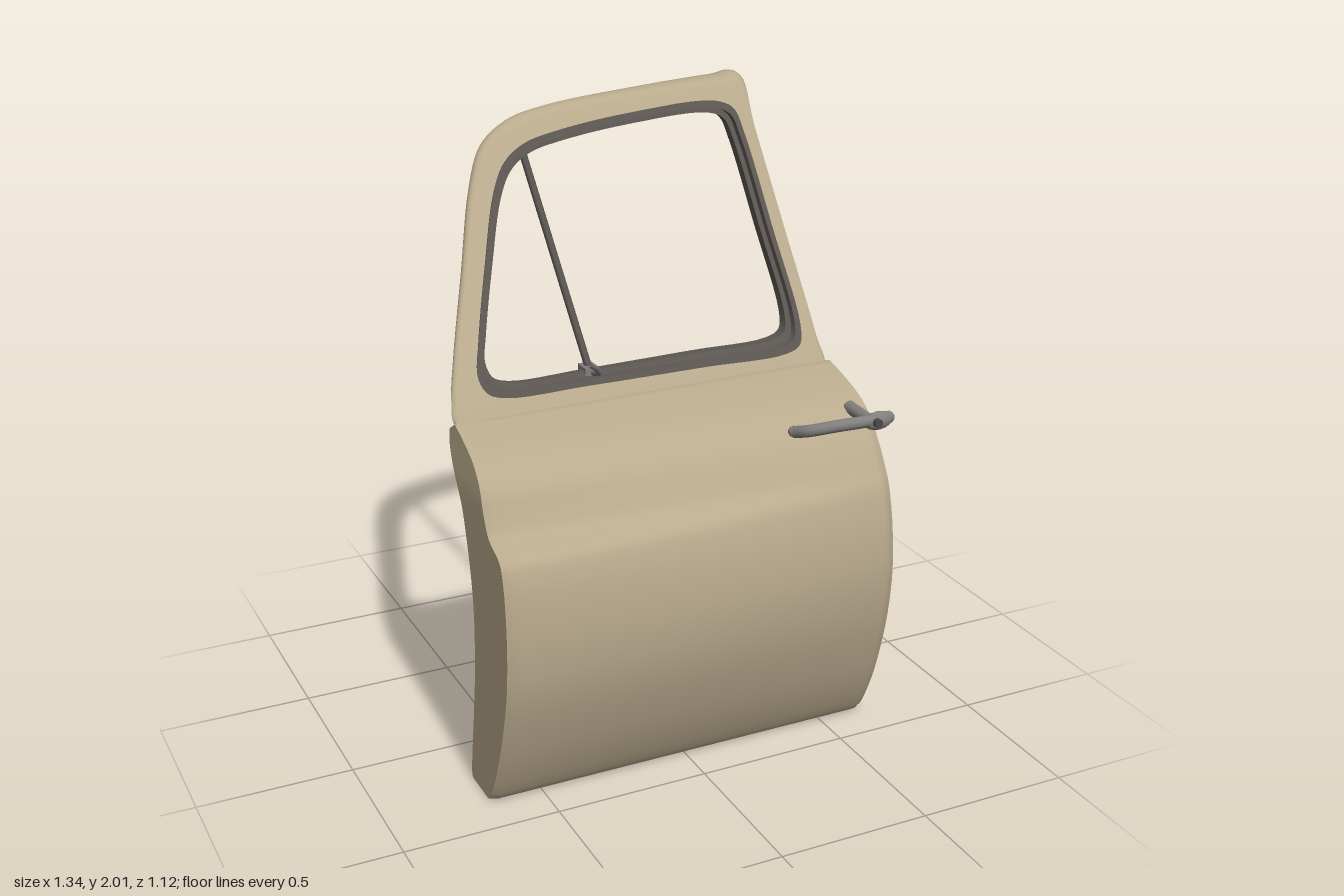
import * as THREE from 'three';
import { toCreasedNormals } from 'three/addons/utils/BufferGeometryUtils.js';

const V2 = (x, y) => new THREE.Vector2(x, y);
const V3 = (x, y, z) => new THREE.Vector3(x, y, z);
const lerp = THREE.MathUtils.lerp;
const smooth = THREE.MathUtils.smoothstep;

const mat = (name, color) => {
  const m = new THREE.MeshStandardMaterial({ color });
  m.name = name;
  return m;
};

function mesh(name, geometry, material, parent, x = 0, y = 0, z = 0) {
  const m = new THREE.Mesh(geometry, material);
  m.name = name;
  m.position.set(x, y, z);
  parent.add(m);
  return m;
}

// Skin over rows of closed sections; either joined end to end or capped.
function loft(rows, ring, crease) {
  const n = rows[0].length, pos = [], idx = [];
  rows.forEach(r => r.forEach(p => pos.push(p.x, p.y, p.z)));
  const quad = (a, b, c, d) => idx.push(a, b, c, a, c, d);
  const count = ring ? rows.length : rows.length - 1;
  for (let i = 0; i < count; i++) {
    const i2 = (i + 1) % rows.length;
    for (let j = 0; j < n; j++) {
      const k = (j + 1) % n;
      quad(i * n + j, i2 * n + j, i2 * n + k, i * n + k);
    }
  }
  if (!ring) {
    const e = (rows.length - 1) * n;
    for (let k = 0; k < n / 2 - 1; k++) {
      const a = k, b = n - 1 - k;
      quad(e + a, e + b, e + b - 1, e + a + 1);
      quad(b, a, a + 1, b - 1);
    }
  }
  const g = new THREE.BufferGeometry();
  g.setAttribute('position', new THREE.Float32BufferAttribute(pos, 3));
  g.setIndex(idx);
  return toCreasedNormals(g, crease);
}

// Side profiles as [z, y]: outer skin at both ends, and the inner panel.
const spline = pts => new THREE.SplineCurve(pts.map(p => V2(p[0], p[1])));
const skinFront = spline([[.34, 0], [.375, .02], [.44, .15], [.495, .3], [.535, .45], [.55, .6], [.545, .74], [.53, .83],
  [.505, .88], [.43, .915], [.395, .97], [.36, 1.04], [.285, 1.1], [.19, 1.14], [.12, 1.165]]);
const skinRear = spline([[.34, 0], [.375, .02], [.44, .15], [.49, .3], [.525, .45], [.54, .6], [.53, .74], [.512, .83],
  [.497, .88], [.477, .92], [.445, .975], [.395, 1.04], [.31, 1.1], [.2, 1.14], [.105, 1.165]]);
const panel = spline([[.075, 0], [.07, .03], [.085, .13], [.11, .27], [.127, .39], [.136, .5], [.138, .6], [.13, .69],
  [.115, .77], [.09, .865], [.06, .965], [.032, 1.03], [.012, 1.08], [.005, 1.11], [.008, 1.14]]);

const leftEdge = y => -.67 + .015 * smooth(y, .98, 1.18);
const rightEdge = y => .665 - .018 * y;

function bodySection(u, inset) {
  const N = 48, outer = [], inner = [];
  for (let k = 0; k <= N; k++) {
    const a = skinFront.getPoint(k / N), b = skinRear.getPoint(k / N), c = panel.getPoint(k / N);
    const yo = Math.max(0, lerp(a.y, b.y, u)), yi = Math.max(0, c.y);
    let zo = lerp(a.x, b.x, u) + .02 * (1 - (2 * u - 1) ** 2) * Math.sin(Math.PI * Math.min(yo / 1.15, 1));
    const fade = 1 - smooth(yo, 1, 1.15);
    zo -= fade * (.02 * smooth(u, .975, 1) + .012 * (1 - smooth(u, 0, .02)));
    // The inner panel is bevelled towards the hinge edge
    const zi = c.x + .04 * (1 - u) + (1 - smooth(u, 0, .13)) * lerp(.09, .03, smooth(yi, .9, 1.14))
      + .012 * smooth(u, .98, 1);
    const mid = (zo + zi) / 2;
    outer.push(V3(lerp(leftEdge(yo), rightEdge(yo), u) - inset, yo, lerp(zo, mid, inset * 5)));
    inner.push(V3(lerp(leftEdge(yi), rightEdge(yi), u) - inset, yi, lerp(zi, mid, inset * 2)));
  }
  return outer.concat(inner.reverse());
}

function panelZ(x, y) {
  let t = 0;
  while (t < 1 && panel.getPoint(t).y < y) t += .005;
  return panel.getPoint(t).x + .04 * (1 - (x + .67) / 1.33);
}

// Leaning window frame: outer face, and thickness growing to the rear
const frameZ = (x, y) => .895 - .667 * y - .025 * (x + .6) / 1.2;
const frameT = x => .065 + .055 * x;

const closed = pts => new THREE.CatmullRomCurve3(pts.map(p => V3(p[0], p[1], 0)), true, 'centripetal');
const rim = closed([[-.645, 1.22], [-.652, 1.16], [-.6, 1.14], [-.2, 1.14], [.2, 1.14], [.5, 1.14], [.64, 1.14], [.638, 1.23],
  [.625, 1.55], [.615, 1.84], [.612, 1.998], [.52, 1.997], [.2, 1.983], [-.1, 1.962], [-.25, 1.933], [-.36, 1.87],
  [-.43, 1.76], [-.52, 1.54], [-.61, 1.32]]);
const opening = closed([[-.545, 1.28], [-.53, 1.235], [-.48, 1.215], [-.2, 1.21], [.2, 1.207], [.49, 1.205], [.55, 1.225],
  [.57, 1.28], [.562, 1.55], [.55, 1.83], [.535, 1.9], [.48, 1.925], [.17, 1.918], [-.1, 1.89], [-.22, 1.865], [-.3, 1.82],
  [-.36, 1.74], [-.44, 1.56], [-.52, 1.36]]);

// Ring between two contours; section is a list of [across, depth]
function ringBetween(pointsAt, section) {
  const rows = [], N = 19 * 6;
  for (let i = 0; i < N; i++) {
    const [p, q] = pointsAt(i / N);
    rows.push(section.map(([f, d]) => {
      const x = lerp(p.x, q.x, f), y = lerp(p.y, q.y, f);
      return V3(x, y, frameZ(x, y) - d * frameT(x));
    }));
  }
  return loft(rows, true, .75);
}

function tube(points, r, sides = 10) {
  return new THREE.TubeGeometry(new THREE.CatmullRomCurve3(points.map(p => V3(...p))), 24, r, sides);
}

function roundedPlate(w, h, r, depth) {
  const s = new THREE.Shape(), x = w / 2, y = h / 2;
  s.absarc(x - r, y - r, r, 0, Math.PI / 2);
  s.absarc(r - x, y - r, r, Math.PI / 2, Math.PI);
  s.absarc(r - x, r - y, r, Math.PI, Math.PI * 1.5);
  s.absarc(x - r, r - y, r, Math.PI * 1.5, Math.PI * 2);
  return new THREE.ExtrudeGeometry(s, { depth, bevelEnabled: false, curveSegments: 5 });
}

export function createModel() {
  const door = new THREE.Group();
  door.name = 'vehicleDoor';
  const paint = mat('tan paint', 0xb9aa8d);
  const rubber = mat('dark rubber', 0x5a5551);
  const metal = mat('grey metal', 0x82807f);
  const dark = mat('dark metal', 0x4b4947);

  // Lower body with a recessed rear jamb
  const columns = [0, .006, .02, .045, .075, .1, .13];
  for (let i = 1; i <= 12; i++) columns.push(.13 + i * .07);
  columns.push(.98, .99, 1);
  const sections = columns.map(u => bodySection(u, 0));
  sections.push(bodySection(1, .018));
  mesh('doorBody', loft(sections, false, .7), paint, door);

  // Window frame and seal
  mesh('windowFrame', ringBetween(t => [rim.getPoint(t), opening.getPoint(t)],
    [[0, .5], [.04, .2], [.15, .04], [.35, 0], [1, 0], [1, 1], [.35, 1], [.15, .96], [.04, .8]]), paint, door);
  mesh('windowSeal', ringBetween(t => {
    const q = opening.getPoint(t);
    return [q, V3(.02 + (q.x - .02) * .945, 1.56 + (q.y - 1.56) * .915, 0)];
  }, [[-.15, -.1], [.45, -.1], [.5, .15], [1, .2], [1, .6], [.5, .65], [.45, .95], [-.1, 1.04]]), rubber, door);

  // Quarter window divider with its latch
  const onFrame = (x, y) => [x, y, frameZ(x, y) - .5 * frameT(x)];
  mesh('windowDivider', tube([onFrame(-.178, 1.22), onFrame(-.202, 1.54), onFrame(-.226, 1.86)], .013, 6), rubber, door);
  mesh('quarterLatch', tube([[-.178, 1.235, .065], [-.185, 1.255, .12], [-.21, 1.285, .155], [-.248, 1.315, .19]], .009, 8), metal, door);
  mesh('quarterLatchBase', new THREE.BoxGeometry(.045, .03, .06), metal, door, -.18, 1.235, .03);

  // Outside handle
  const handle = new THREE.Group();
  handle.name = 'outsideHandle';
  door.add(handle);
  const grip = mesh('handleGrip', tube([[.36, -.028, .375], [.385, -.012, .425], [.46, .004, .465], [.56, .006, .475], [.65, .002, .462]], .018), metal, handle, 0, 1.09, 0);
  grip.scale.y = 1.1;
  const hub = mesh('handleHub', new THREE.SphereGeometry(.035, 16, 10), metal, handle, .6, 1.093, .475);
  hub.scale.set(1.5, .85, .6);
  mesh('handleTip', new THREE.SphereGeometry(.02, 12, 8), metal, handle, .645, 1.092, .463);
  mesh('gripEnd', new THREE.SphereGeometry(.019, 12, 8), metal, handle, .36, 1.06, .375);
  const post = mesh('handlePost', new THREE.CylinderGeometry(.018, .022, .16, 14), metal, handle, .59, 1.085, .4);
  post.rotation.x = Math.PI / 2;
  const lock = mesh('lockCylinder', new THREE.CylinderGeometry(.014, .014, .03, 14), dark, handle, .585, 1.095, .492);
  lock.rotation.x = Math.PI / 2;

  // Latch on the rear jamb
  const latch = new THREE.Group();
  latch.name = 'jambLatch';
  latch.position.set(.643, .895, .31);
  latch.rotation.x = .08;
  door.add(latch);
  mesh('latchPlate', new THREE.BoxGeometry(.03, .17, .055), metal, latch);
  mesh('latchBolt', new THREE.BoxGeometry(.024, .1, .03), metal, latch, .015, 0, .005);
  for (const s of [-1, 1]) mesh('latchBlock', new THREE.BoxGeometry(.02, .025, .075), dark, latch, .014, s * .068, 0);

  // Inside fittings; negative local z points into the cabin
  const fitting = (name, x, y, tilt) => {
    const g = new THREE.Group();
    g.name = name;
    g.position.set(x, y, panelZ(x, y));
    g.rotation.set(-tilt, .031, 0);
    door.add(g);
    return g;
  };
  const cover = fitting('accessCover', .24, .985, .33);
  const s = new THREE.Shape([[-.28, -.06], [.28, -.05], [.28, .035], [-.06, .035], [-.09, .065], [-.28, .065]].map(p => V2(...p)));
  mesh('coverPlate', new THREE.ExtrudeGeometry(s, { depth: .03, bevelEnabled: false }), metal, cover, 0, 0, -.018);

  const pull = fitting('pullHandle', .2, .86, .3);
  const bar = mesh('pullBar', tube([[-.25, .02, .01], [-.2, -.005, -.03], [-.08, -.03, -.045], [.08, -.03, -.045], [.2, -.005, -.03], [.25, .02, .01]], .024), metal, pull);
  bar.scale.y = 1.2;

  const release = fitting('releasePlate', -.19, .98, .33);
  mesh('releaseBase', roundedPlate(.12, .13, .025, .025), metal, release, 0, 0, -.016);
  mesh('releaseKnob', new THREE.SphereGeometry(.02, 12, 8), dark, release, 0, 0, -.02);

  const cross = fitting('crossBracket', -.17, .835, .25);
  mesh('crossBarWide', new THREE.BoxGeometry(.075, .025, .03), metal, cross);
  mesh('crossBarTall', new THREE.BoxGeometry(.025, .065, .03), metal, cross);

  // Window crank
  const crank = fitting('windowCrank', -.3, .7, .15);
  mesh('crankRing', new THREE.TorusGeometry(.082, .02, 10, 28), metal, crank, 0, 0, -.008);
  const disc = mesh('crankDisc', new THREE.CylinderGeometry(.07, .07, .02, 24), dark, crank, 0, 0, -.005);
  disc.rotation.x = Math.PI / 2;
  mesh('crankArm', tube([[0, 0, 0], [.03, .015, -.035], [.08, .04, -.045], [.14, .065, -.04]], .016), metal, crank);
  const knob = mesh('crankKnob', new THREE.CylinderGeometry(.026, .02, .06, 14), metal, crank, .14, .065, -.065);
  knob.rotation.x = Math.PI / 2;

  return door;
}
